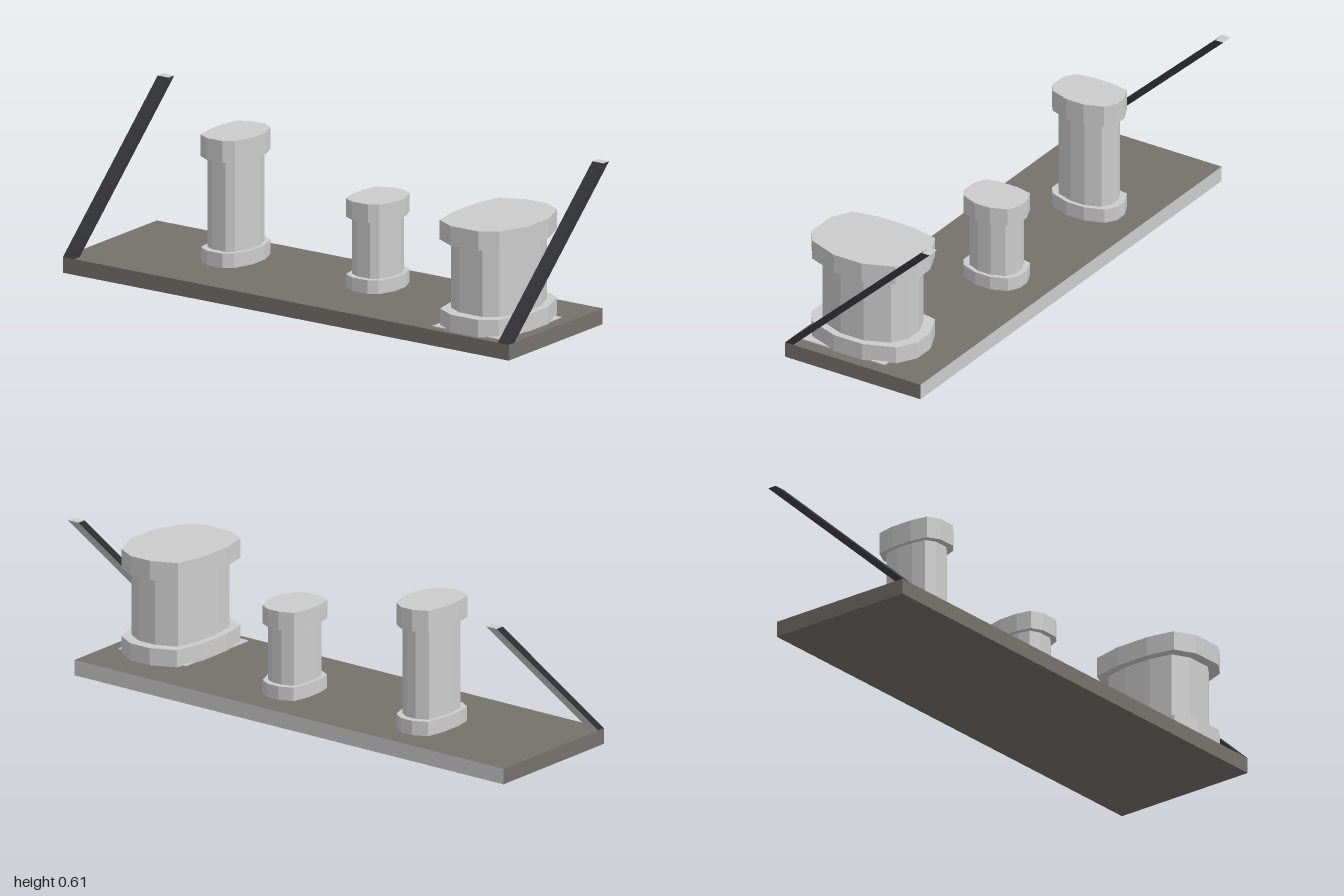
import * as THREE from 'three';

// Irregular twelve-sided plan shared by every column (x, z from -1 to 1)
const PLAN = [
  [-1, -0.4], [-0.81, -0.87], [-0.33, -1], [0.29, -1], [0.81, -0.85], [1, -0.27],
  [1, 0.27], [0.81, 0.72], [0.29, 1], [-0.25, 1], [-0.81, 0.72], [-1, 0.35],
];

const BASE_TOP = 0.06;

export function createModel() {
  const stone = new THREE.MeshStandardMaterial({ color: 0xcccccc, flatShading: true });
  stone.name = 'lightStone';
  const ground = new THREE.MeshStandardMaterial({ color: 0x75716d, flatShading: true });
  ground.name = 'greyBrown';
  const charcoal = new THREE.MeshStandardMaterial({ color: 0x353436, flatShading: true });
  charcoal.name = 'charcoal';

  const model = new THREE.Group();
  model.name = 'columnsOnSlab';

  function add(parent, name, geometry, material, x = 0, y = 0, z = 0) {
    const mesh = new THREE.Mesh(geometry, material);
    mesh.name = name;
    mesh.position.set(x, y, z);
    parent.add(mesh);
    return mesh;
  }

  // One faceted drum from y0 to y1 with half widths rx and rz
  function drum(rx, rz, y0, y1) {
    const shape = new THREE.Shape(PLAN.map(([x, z]) => new THREE.Vector2(x * rx, -z * rz)));
    const geometry = new THREE.ExtrudeGeometry(shape, { depth: y1 - y0, bevelEnabled: false });
    return geometry.rotateX(-Math.PI / 2).translate(0, y0, 0);
  }

  // Slab, with its right long edge in light stone
  add(model, 'slab', new THREE.BoxGeometry(0.592, BASE_TOP, 2),
    [stone, ground, ground, ground, ground, ground], -0.021, BASE_TOP / 2, 0);

  // Thin pale plate under the large column
  add(model, 'footPlate', new THREE.BoxGeometry(0.37, 0.004, 0.315), stone, -0.1, BASE_TOP + 0.002, 0.792);

  // Columns: plinth, shaft and cap
  const columns = [
    { name: 'largeColumn', x: -0.074, z: 0.793, rx: 0.225, rz: 0.168, plinth: 0.126, cap: 0.388, top: 0.462 },
    { name: 'smallColumn', x: 0.05, z: 0.158, rx: 0.119, rz: 0.094, plinth: 0.112, cap: 0.33, top: 0.4 },
    { name: 'tallColumn', x: 0.041, z: -0.473, rx: 0.139, rz: 0.096, plinth: 0.115, cap: 0.46, top: 0.543 },
  ];
  for (const c of columns) {
    const column = new THREE.Group();
    column.name = c.name;
    column.position.set(c.x, 0, c.z);
    add(column, 'plinth', drum(c.rx * 1.01, c.rz * 0.98, BASE_TOP, c.plinth), stone);
    add(column, 'shaft', drum(c.rx * 0.82, c.rz * 0.82, c.plinth, c.cap), stone);
    add(column, 'cap', drum(c.rx, c.rz, c.cap, c.top), stone);
    model.add(column);
  }

  // Slanted bars at both ends: a box sheared sideways as it rises
  const height = 0.55;
  for (const [name, z] of [['frontBar', 0.975], ['backBar', -0.975]]) {
    const geometry = new THREE.BoxGeometry(0.035, height, 0.05);
    const p = geometry.attributes.position;
    for (let i = 0; i < p.count; i++) {
      p.setX(i, p.getX(i) + (p.getY(i) / height) * 0.597);
    }
    geometry.computeVertexNormals();
    add(model, name, geometry, [stone, charcoal, stone, charcoal, charcoal, charcoal],
      -0.001, BASE_TOP + height / 2, z);
  }

  return model;
}
